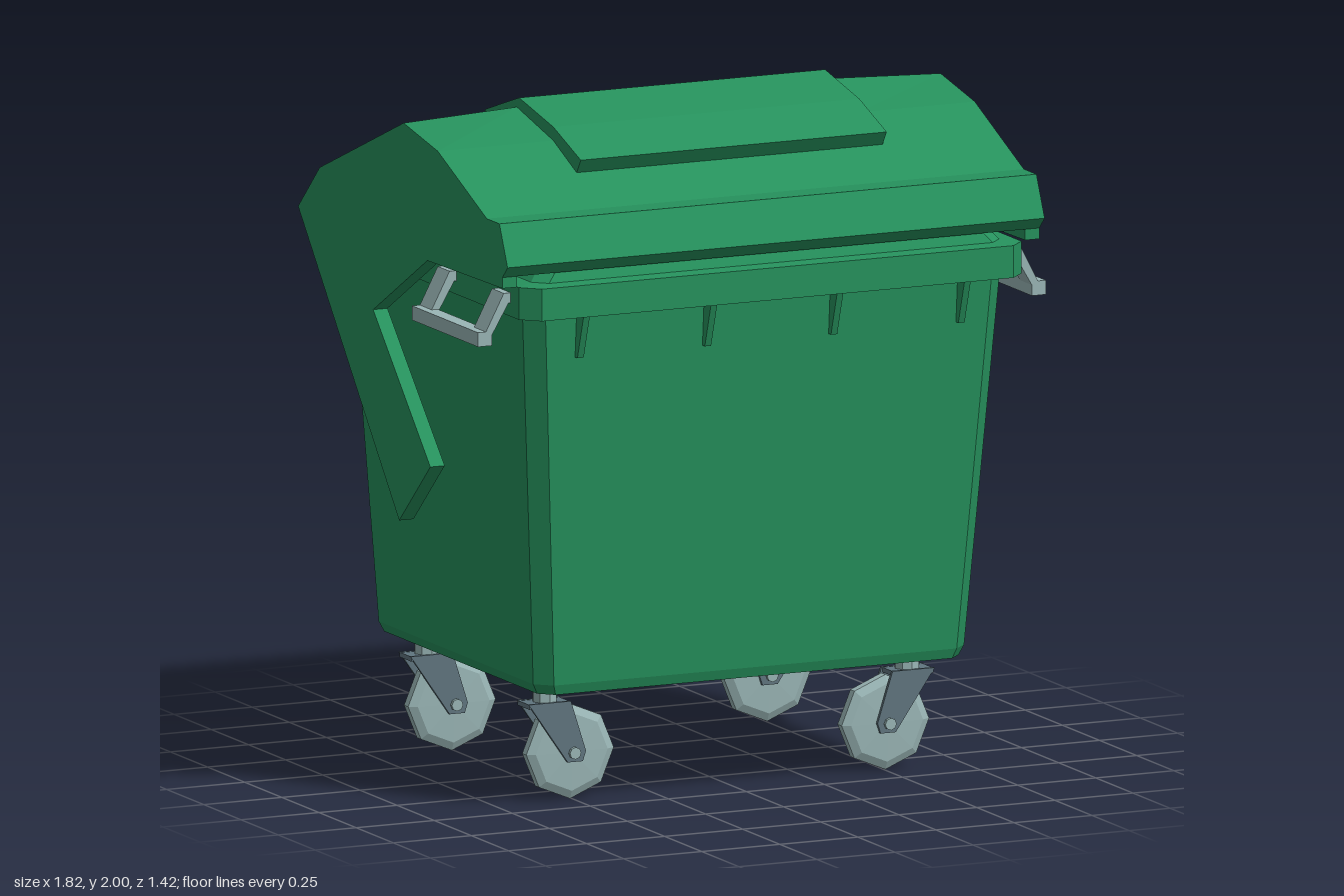
import * as THREE from 'three';

const mat = (name, color) => {
  const m = new THREE.MeshStandardMaterial({ color });
  m.name = name;
  return m;
};

// Unshared vertices give every facet its own flat normal
function faceted(geo) {
  const g = geo.index ? geo.toNonIndexed() : geo;
  g.computeVertexNormals();
  return g;
}

const shapeOf = (pts) => new THREE.Shape(pts.map(([a, b]) => new THREE.Vector2(a, b)));

// Side profile of [z, y] points, extruded across x and centred on x = 0
function acrossX(pts, width, steps = 1) {
  const g = new THREE.ExtrudeGeometry(shapeOf(pts), { depth: width, steps, bevelEnabled: false });
  g.translate(0, 0, -width / 2);
  g.rotateY(-Math.PI / 2);
  return g;
}

// Front profile of [x, y] points, extruded along z and centred on z = 0
function alongZ(pts, depth) {
  const g = new THREE.ExtrudeGeometry(shapeOf(pts), { depth, bevelEnabled: false });
  return g.translate(0, 0, -depth / 2);
}

// Closed loft through chamfered rectangles; level = [y, half width, front z, back z, chamfer]
function chamferedLoft(levels) {
  const pos = [], idx = [];
  for (const [y, w, f, b, c] of levels) {
    for (const [x, z] of [[w - c, f], [w, f - c], [w, b + c], [w - c, b],
      [c - w, b], [-w, b + c], [-w, f - c], [c - w, f]]) pos.push(x, y, z);
  }
  const top = (levels.length - 1) * 8;
  for (let l = 0; l < top; l += 8) {
    for (let i = 0; i < 8; i++) {
      const a = l + i, b = l + (i + 1) % 8;
      idx.push(a, b, b + 8, a, b + 8, a + 8);
    }
  }
  for (let i = 1; i < 7; i++) {
    idx.push(0, i + 1, i);
    idx.push(top, top + i, top + i + 1);
  }
  const g = new THREE.BufferGeometry();
  g.setAttribute('position', new THREE.Float32BufferAttribute(pos, 3));
  g.setIndex(idx);
  return faceted(g);
}

export function createModel() {
  const green = mat('green plastic', 0x26925d);
  const pale = mat('pale metal', 0x9ab6b6);
  const steel = mat('dark steel', 0x60757f);
  const root = new THREE.Group();
  root.name = 'wheeledContainer';
  const add = (name, geo, material, parent = root) => {
    const m = new THREE.Mesh(geo, material);
    m.name = name;
    parent.add(m);
    return m;
  };

  // Tapered body and overhanging rim
  add('body', chamferedLoft([
    [0.35, 0.675, 0.55, -0.56, 0.04],
    [0.38, 0.69, 0.56, -0.57, 0.045],
    [1.5, 0.765, 0.65, -0.615, 0.05],
  ]), green);
  add('rim', chamferedLoft([
    [1.49, 0.805, 0.71, -0.675, 0.05],
    [1.585, 0.805, 0.71, -0.675, 0.05],
    [1.59, 0.75, 0.665, -0.64, 0.04],
    [1.625, 0.72, 0.65, -0.63, 0.04],
  ]), green);

  // Gussets under the front of the rim
  for (const x of [-0.605, -0.197, 0.207, 0.615]) {
    add('rimGusset', acrossX([[0.63, 1.5], [0.63, 1.36], [0.655, 1.36], [0.7, 1.5]], 0.02), green)
      .position.x = x;
  }

  // Lid, with the ridge slightly raised over its middle section
  const lid = acrossX([[0.665, 1.62], [0.7, 1.655], [0.645, 1.775], [0.56, 1.775],
    [0.23, 1.915], [0, 1.957], [-0.565, 1.725], [-0.71, 1.585]], 1.72, 3);
  const p = lid.attributes.position;
  for (let i = 0; i < p.count; i++) {
    const x = p.getX(i);
    if (Math.abs(x) < 0.8) {
      p.setX(i, Math.sign(x) * 0.49);
      if (p.getY(i) > 1.95) p.setXYZ(i, p.getX(i), 1.97, -0.015);
    }
  }
  add('lid', faceted(lid), green);

  // Raised hatch on the lid
  add('hatch', acrossX([[0.415, 1.89], [0.23, 1.955], [0, 2], [-0.23, 1.925],
    [-0.21, 1.87], [0, 1.93], [0.23, 1.88], [0.385, 1.845]], 0.98), green);

  // Lid side arms and lifting handles
  const armShape = [[0.665, 1.62], [-0.71, 1.585], [-0.03, 0.78], [0.18, 0.975],
    [-0.205, 1.37], [0.16, 1.58], [0.665, 1.588]];
  const strutShape = [[0.79, 1.56], [0.79, 1.53], [0.812, 1.53], [0.865, 1.44],
    [0.89, 1.44], [0.827, 1.56]];
  for (const s of [-1, 1]) {
    add('lidArm', acrossX(armShape, 0.046), green).position.x = s * 0.837;
    const handle = new THREE.Group();
    handle.name = s > 0 ? 'leftHandle' : 'rightHandle';
    root.add(handle);
    add('handleBar', new THREE.BoxGeometry(0.045, 0.042, 0.445), pale, handle)
      .position.set(s * 0.887, 1.43, 0.382);
    for (const z of [0.2, 0.565]) {
      add('handleStrut', alongZ(strutShape.map(([x, y]) => [s * x, y]), 0.08), pale, handle)
        .position.z = z;
    }
  }

  // Four swivel casters
  const wheelGeo = faceted(new THREE.LatheGeometry([[0, -0.03], [0.06, -0.028], [0.115, -0.026],
    [0.14, -0.014], [0.14, 0.014], [0.115, 0.026], [0.06, 0.028], [0, 0.03]]
    .map(([r, y]) => new THREE.Vector2(r, y)), 8).rotateX(Math.PI / 2));
  const stemGeo = faceted(new THREE.CylinderGeometry(0.037, 0.037, 0.08, 8));
  const axleGeo = faceted(new THREE.CylinderGeometry(0.018, 0.018, 0.105, 8).rotateX(Math.PI / 2));
  const forkShape = [[0.65, 0.295], [0.515, 0.295], [0.467, 0.145], [0.477, 0.115], [0.525, 0.115]];
  for (const s of [-1, 1]) {
    for (const z of [0.36, -0.435]) {
      const caster = new THREE.Group();
      caster.name = 'caster';
      caster.position.z = z;
      root.add(caster);
      add('wheel', wheelGeo, pale, caster).position.set(s * 0.505, 0.142, 0);
      add('axle', axleGeo, pale, caster).position.set(s * 0.505, 0.142, 0);
      add('stem', stemGeo, pale, caster).position.set(s * 0.58, 0.325, 0);
      add('forkTop', new THREE.BoxGeometry(0.13, 0.014, 0.08), steel, caster)
        .position.set(s * 0.582, 0.287, 0);
      for (const side of [-1, 1]) {
        add('forkPlate', alongZ(forkShape.map(([x, y]) => [s * x, y]), 0.01), steel, caster)
          .position.z = side * 0.037;
      }
    }
  }
  return root;
}
